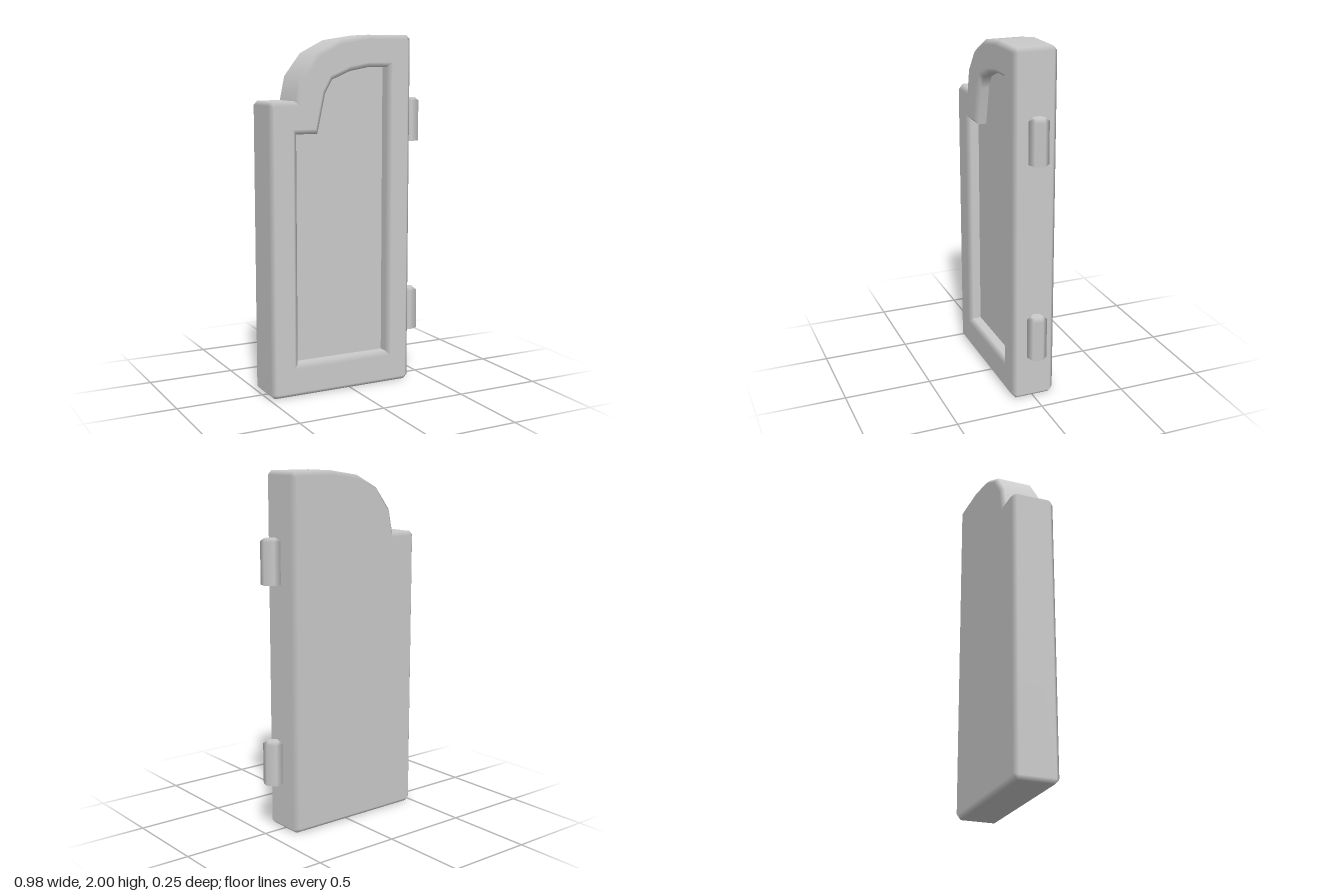
import * as THREE from 'three';
import { mergeGeometries } from 'three/addons/utils/BufferGeometryUtils.js';

const V = (x, y) => new THREE.Vector2(x, y);
const material = new THREE.MeshStandardMaterial({ color: 0xcccccc });

// Outward normal of the edge from point i to point i + 1 (anticlockwise solid, clockwise hole)
function edgeNormal(pts, i) {
  const n = pts.length;
  const d = pts[(i + 1) % n].clone().sub(pts[(i + n) % n]).normalize();
  return V(d.y, -d.x);
}

// Move every edge of the loop into the solid by a distance, with mitred corners
function inset(pts, dist) {
  return pts.map((p, i) => {
    const a = edgeNormal(pts, i - 1), b = edgeNormal(pts, i);
    return p.clone().addScaledVector(a.clone().add(b), -dist / (1 + a.dot(b)));
  });
}

// Cut the listed corners with a small chamfer
function chamfer(pts, corners, size) {
  const n = pts.length;
  return pts.flatMap((p, i) => {
    if (!corners.includes(i)) return [p];
    return [pts[(i + n - 1) % n], pts[(i + 1) % n]].map((q) =>
      p.clone().addScaledVector(q.clone().sub(p).normalize(), size));
  });
}

// Normal at one end of an edge: long neighbours dominate, sharp corners stay sharp
function cornerNormal(pts, edge, end) {
  const n = pts.length, other = end ? edge + 1 : edge - 1;
  const a = edgeNormal(pts, edge), b = edgeNormal(pts, other % n);
  if (a.dot(b) < 0.4) return a;
  const len2 = (i) => pts[(i + n) % n].distanceToSquared(pts[(i + 1) % n]);
  return a.multiplyScalar(len2(edge)).addScaledVector(b, len2(other)).normalize();
}

// Walls around a loop, following a profile of [inset, z] from back to front
function walls(pts, profile) {
  const pos = [], nor = [];
  const rings = profile.map(([d]) => inset(pts, d));
  for (let k = 0; k < profile.length - 1; k++) {
    for (let i = 0; i < pts.length; i++) {
      for (const [r, e] of [[0, 0], [0, 1], [1, 1], [0, 0], [1, 1], [1, 0]]) {
        const [d, z] = profile[k + r];
        const p = rings[k + r][(i + e) % pts.length];
        const m = cornerNormal(pts, i, e);
        pos.push(p.x, p.y, z);
        // Bevels blend from the wall into the flat face
        if (d > 0) nor.push(0, 0, r ? 1 : -1);
        else nor.push(m.x, m.y, 0);
      }
    }
  }
  const g = new THREE.BufferGeometry();
  g.setAttribute('position', new THREE.Float32BufferAttribute(pos, 3));
  g.setAttribute('normal', new THREE.Float32BufferAttribute(nor, 3));
  return g;
}

// Flat face at depth z, optionally with a hole or facing backwards
function cap(pts, z, { hole, back } = {}) {
  const shape = new THREE.Shape(back ? pts.map((p) => V(-p.x, p.y)) : pts);
  if (hole) shape.holes.push(new THREE.Path(hole));
  let g = new THREE.ShapeGeometry(shape);
  if (back) g.rotateY(Math.PI);
  g = g.toNonIndexed().translate(0, 0, z);
  g.deleteAttribute('uv');
  return g;
}

function createDoor() {
  const half = 0.125, bevel = 0.025, lip = 0.027, floor = 0.055;
  const outline = chamfer([
    V(-0.49, 0), V(0.38, 0), V(0.38, 2), V(0.11, 2), V(-0.07, 1.972), V(-0.21, 1.9),
    V(-0.306, 1.775), V(-0.334, 1.643), V(-0.49, 1.643),
  ], [0, 1, 2, 8], 0.022);
  const recess = [
    V(-0.327, 0.187), V(0.23, 0.187), V(0.23, 1.823), V(0.11, 1.823), V(0, 1.803),
    V(-0.11, 1.757), V(-0.152, 1.685), V(-0.2, 1.465), V(-0.327, 1.465),
  ].reverse();

  const group = new THREE.Group();
  group.name = 'door';
  // Bevelled frame with the back face
  const frame = new THREE.Mesh(mergeGeometries([
    walls(outline, [[bevel, -half], [0, bevel - half], [0, half - bevel], [bevel, half]]),
    cap(inset(outline, bevel), half, { hole: inset(recess, lip) }),
    cap(inset(outline, bevel), -half, { back: true }),
  ]), material);
  frame.name = 'doorFrame';
  // Sunken front panel
  const panel = new THREE.Mesh(mergeGeometries([
    walls(recess, [[0, floor], [0, half - bevel], [lip, half]]),
    cap(recess, floor),
  ]), material);
  panel.name = 'recessedPanel';
  group.add(frame, panel);
  return group;
}

// Six-sided hinge pin with a bevelled top
function createHinge(y) {
  const height = 0.25, bevel = 0.018;
  const hexagon = Array.from({ length: 6 }, (_, i) => {
    const a = (i * Math.PI) / 3 + 0.26;
    return V(0.055 * Math.cos(a), 0.055 * Math.sin(a));
  });
  const geometry = mergeGeometries([
    walls(hexagon, [[0, 0], [0, height - bevel], [bevel, height]]),
    cap(inset(hexagon, bevel), height),
    cap(hexagon, 0, { back: true }),
  ]).rotateX(-Math.PI / 2);
  const hinge = new THREE.Mesh(geometry, material);
  hinge.position.set(0.436, y, 0.007);
  return hinge;
}

export function createModel() {
  const model = new THREE.Group();
  model.name = 'hingedDoor';
  model.add(createDoor());
  for (const [name, y] of [['lowerHinge', 0.28], ['upperHinge', 1.4]]) {
    const hinge = createHinge(y);
    hinge.name = name;
    model.add(hinge);
  }
  return model;
}
